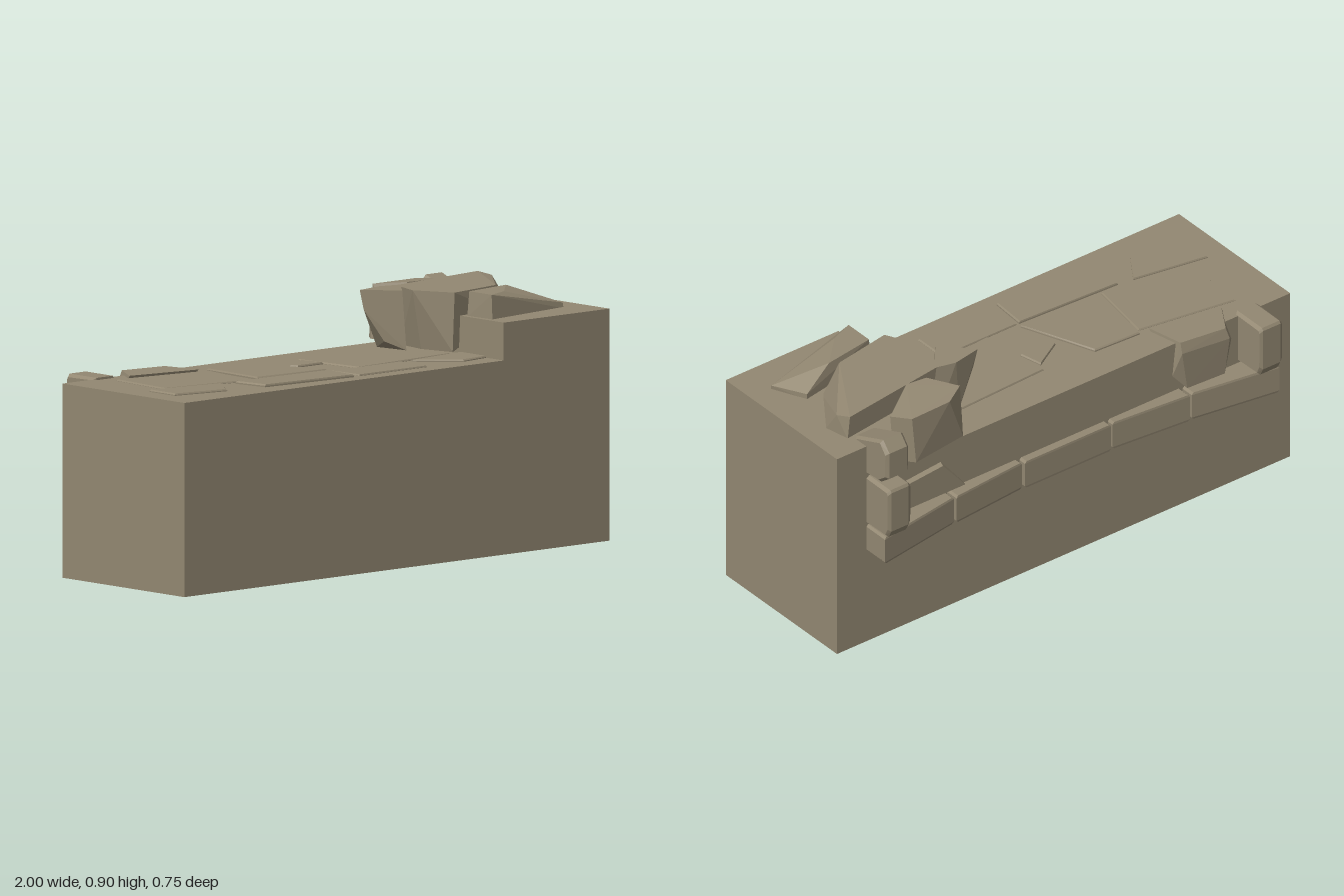
import * as THREE from 'three';
import { ConvexGeometry } from 'three/addons/geometries/ConvexGeometry.js';

export function createModel() {
  const model = new THREE.Group();
  model.name = 'stoneLedge';
  const stone = new THREE.MeshStandardMaterial({ color: 0x938872 });
  stone.name = 'warm grey stone';
  const BACK = -0.25, TOP = 0.682;

  const add = (name, geometry) => {
    const mesh = new THREE.Mesh(geometry, stone);
    mesh.name = name;
    model.add(mesh);
  };
  const hull = (name, pts) =>
    add(name, new ConvexGeometry(pts.map((p) => new THREE.Vector3(...p))));

  // Pull an outline towards its centre by about d
  const inset = (outline, d) => {
    const cx = outline.reduce((s, p) => s + p[0], 0) / outline.length;
    const cz = outline.reduce((s, p) => s + p[1], 0) / outline.length;
    return outline.map(([x, z]) => {
      const k = 1 - d / Math.hypot(x - cx, z - cz);
      return [cx + (x - cx) * k, cz + (z - cz) * k];
    });
  };
  // Upright stone from an [x, z] outline with bevelled top and, optionally, bottom
  const slab = (name, outline, y0, y1, bevel, bottomBevel = 0) => {
    const ring = (o, y) => o.map(([x, z]) => [x, y, z]);
    hull(name, [
      ...ring(inset(outline, bottomBevel), y0),
      ...ring(outline, y0 + bottomBevel),
      ...ring(outline, y1 - bevel),
      ...ring(inset(outline, bevel), y1),
    ]);
  };
  // Stone with a [z, y] profile between two x positions, narrower at the outer face
  const sideStone = (name, profile, x0, x1) => {
    const small = inset(profile, 0.012);
    hull(name, [
      ...small.map(([z, y]) => [x0, y, z]),
      ...profile.map(([z, y]) => [x0 + 0.012, y, z]),
      ...profile.map(([z, y]) => [x1 - 0.012, y, z]),
      ...small.map(([z, y]) => [x1, y, z]),
    ]);
  };

  // Main block with the raised step on its left
  const section = new THREE.Shape([
    [-1, 0], [1, 0], [1, 0.815], [0.503, 0.815], [0.503, TOP], [-1, TOP],
  ].map(([x, y]) => new THREE.Vector2(x, y)));
  const block = new THREE.ExtrudeGeometry(section, { depth: 0.627, bevelEnabled: false });
  block.translate(0, 0, BACK);
  add('mainBlock', block);

  // Flat paving stones on the low top
  const paving = [
    [[-0.82, -0.17], [-0.44, -0.11], [-0.48, 0.15], [-0.84, 0.1]],
    [[-0.91, 0.1], [-0.62, 0.15], [-0.7, 0.27], [-0.91, 0.23]],
    [[-0.56, 0.16], [-0.14, 0.18], [-0.15, 0.32], [-0.54, 0.29]],
    [[-0.13, 0.18], [0.2, 0.18], [0.2, 0.315], [-0.12, 0.315]],
    [[0.24, 0.19], [0.5, 0.16], [0.5, 0.29], [0.38, 0.305]],
    [[-0.43, -0.13], [-0.24, -0.12], [-0.13, 0.16], [-0.44, 0.14]],
    [[-0.03, -0.1], [0.28, -0.11], [0.42, -0.12], [0.46, 0.15], [0, 0.18]],
    [[-0.16, 0], [-0.04, -0.07], [-0.02, 0.02], [-0.14, 0.02]],
  ];
  paving.forEach((o, i) => slab('pavingStone' + (i + 1), o, TOP - 0.02, 0.688 + (i % 3) * 0.002, 0.005));

  // Large boulder on the step, sloping down to its outer front corner
  hull('largeTopStone', [
    [0.44, 0.9, -0.11], [0.88, 0.9, -0.17], [0.9, 0.89, -0.12], [0.7, 0.9, 0.12],
    [0.47, 0.9, 0.16], [0.4, 0.9, 0.02],
    [0.46, 0.69, -0.11], [0.44, 0.69, 0.02], [0.47, 0.69, 0.15],
    [0.89, 0.81, -0.17], [0.91, 0.81, -0.07], [0.79, 0.81, 0.1], [0.7, 0.81, 0.13],
  ]);

  // Front stone on the step, falling away to the left
  hull('frontTopStone', [
    [0.53, 0.9, 0.17], [0.53, 0.9, 0.285], [0.62, 0.9, 0.25], [0.73, 0.9, 0.14],
    [0.52, 0.81, 0.17], [0.525, 0.81, 0.295], [0.91, 0.81, 0.24], [0.85, 0.81, 0.11],
    [0.91, 0.83, 0.235], [0.85, 0.835, 0.11],
  ]);

  // Leaning wedge at the inner end of the step
  hull('innerWedgeStone', [
    [0.27, 0.9, -0.11], [0.38, 0.9, -0.13], [0.46, 0.9, -0.11], [0.37, 0.9, 0],
    [0.28, 0.83, -0.1], [0.36, 0.69, -0.12], [0.46, 0.69, -0.12], [0.38, 0.69, 0.01],
    [0.33, 0.72, -0.05],
  ]);

  // Upright stone behind the step
  hull('rearTopStone', [
    [0.45, 0.89, -0.24], [0.52, 0.9, -0.14], [0.7, 0.88, -0.29], [0.75, 0.88, -0.23],
    [0.6, 0.9, -0.13], [0.53, 0.88, -0.285],
    [0.43, 0.7, -0.23], [0.46, 0.7, -0.27], [0.69, 0.7, -0.3], [0.74, 0.7, -0.24],
    [0.46, 0.7, -0.13],
  ]);

  // Stone hanging over the back edge at the low end
  hull('rearLowStone', [
    [-0.68, 0.692, -0.295], [-0.5, 0.692, -0.27], [-0.47, 0.692, -0.13], [-0.75, 0.692, -0.18],
    [-0.69, 0.65, -0.305], [-0.5, 0.65, -0.28], [-0.74, 0.6, -0.25],
    [-0.68, 0.5, -0.29], [-0.53, 0.49, -0.27], [-0.48, 0.55, -0.25], [-0.72, 0.49, -0.24],
  ]);

  // Thin slanted slab on the back face
  const face = [[0.8, 0.59], [0.54, 0.617], [0.44, 0.49], [0.72, 0.488]];
  hull('backSlab', [
    ...face.map(([x, y]) => [x, y, BACK + 0.01]),
    ...inset(face, 0.01).map(([x, y]) => [x, y, BACK - 0.02]),
  ]);

  // Curved course of stones along the back
  const course = [
    [-0.87, -0.355, -0.525, -0.302], [-0.515, -0.305, -0.195, -0.277], [-0.185, -0.282, 0.195, -0.282],
    [0.205, -0.277, 0.515, -0.305], [0.525, -0.302, 0.87, -0.355],
  ];
  course.forEach(([x0, z0, x1, z1], i) => slab('backCourseStone' + (i + 1),
    [[x0, z0], [x1, z1], [x1, BACK + 0.02], [x0, BACK + 0.02]], 0.377, 0.487, 0.008, 0.008));

  // Stacked corner stones at both ends of the back
  const low = [[-0.23, 0.69], [-0.37, 0.69], [-0.376, 0.68], [-0.376, 0.52], [-0.36, 0.49], [-0.23, 0.49]];
  const high = [[-0.18, 0.82], [-0.33, 0.88], [-0.365, 0.84], [-0.365, 0.735], [-0.32, 0.7], [-0.23, 0.697]];
  sideStone('rightCornerStone', low, -0.87, -0.77);
  sideStone('leftCornerLowStone', low, 0.77, 0.87);
  sideStone('leftCornerHighStone', high, 0.77, 0.87);

  return model;
}
